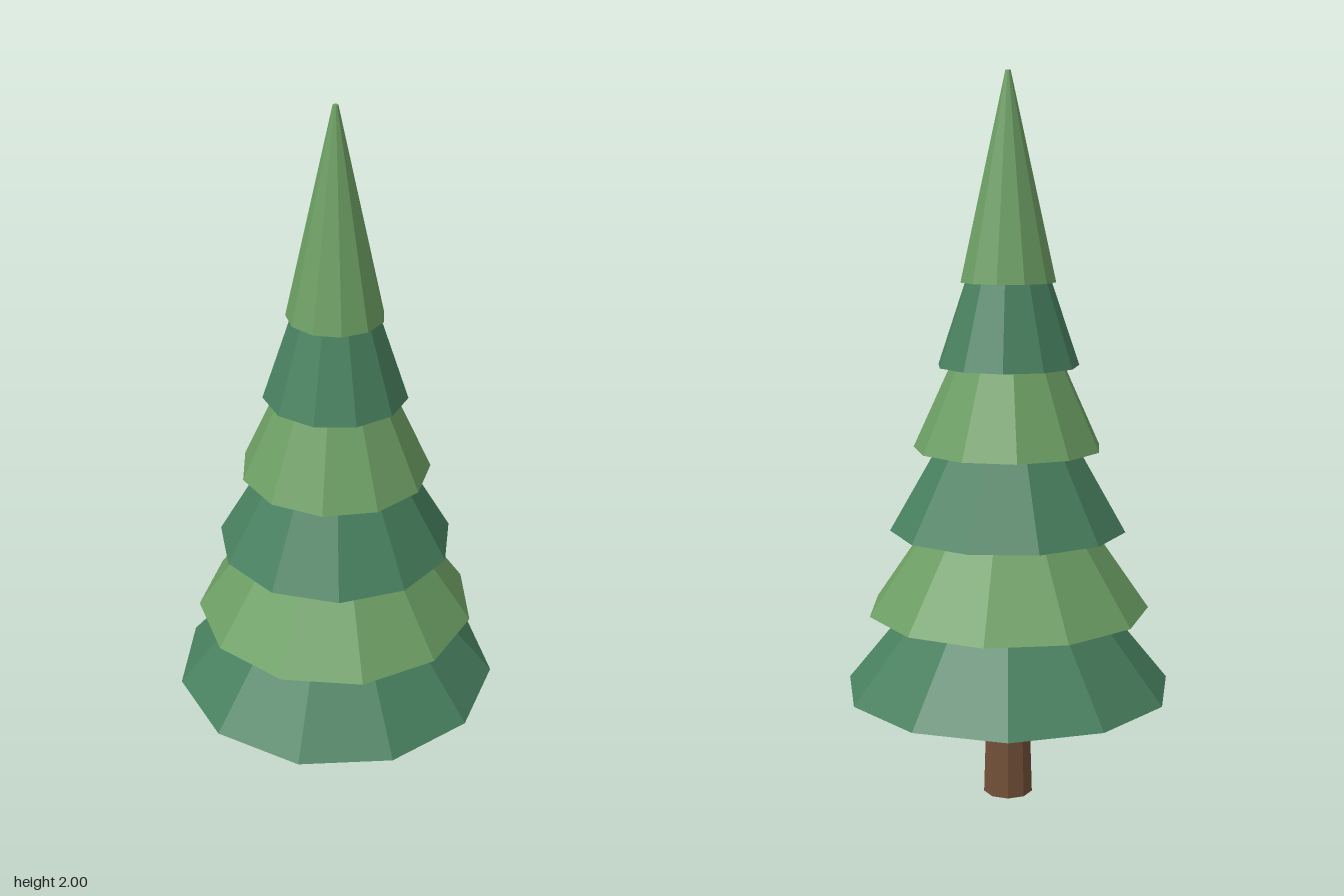
import * as THREE from 'three';

export function createModel() {
  const tree = new THREE.Group();
  tree.name = 'pineTree';

  const paint = (color) => new THREE.MeshStandardMaterial({ color, flatShading: true });
  const darkGreen = paint(0x48805f);
  const lightGreen = paint(0x6d9f64);
  const bark = paint(0x735038);

  // Tapered prism standing on y, with a corner facing the back before turning
  function addPrism(name, topRadius, radius, height, sides, y, turn, material) {
    const mesh = new THREE.Mesh(
      new THREE.CylinderGeometry(topRadius, radius, height, sides), material);
    mesh.name = name;
    mesh.position.set(0, y + height / 2, 0.008);
    mesh.rotation.y = Math.PI - turn;
    tree.add(mesh);
  }

  // Trunk, its top hidden inside the lowest tier
  addPrism('trunk', 0.058, 0.069, 0.36, 9, 0, 0, bark);

  // Six overlapping foliage tiers, each turned a little further
  const radii = [0.457, 0.391, 0.326, 0.26, 0.195, 0.13];
  radii.forEach((radius, i) => {
    addPrism(`foliageTier${i + 1}`, 0.007, radius, 0.556, 11,
      0.314 + i * 0.226, i * 0.16, i % 2 ? lightGreen : darkGreen);
  });

  // Light tip on top
  tree.children[tree.children.length - 1].name = 'treeTop';
  return tree;
}
